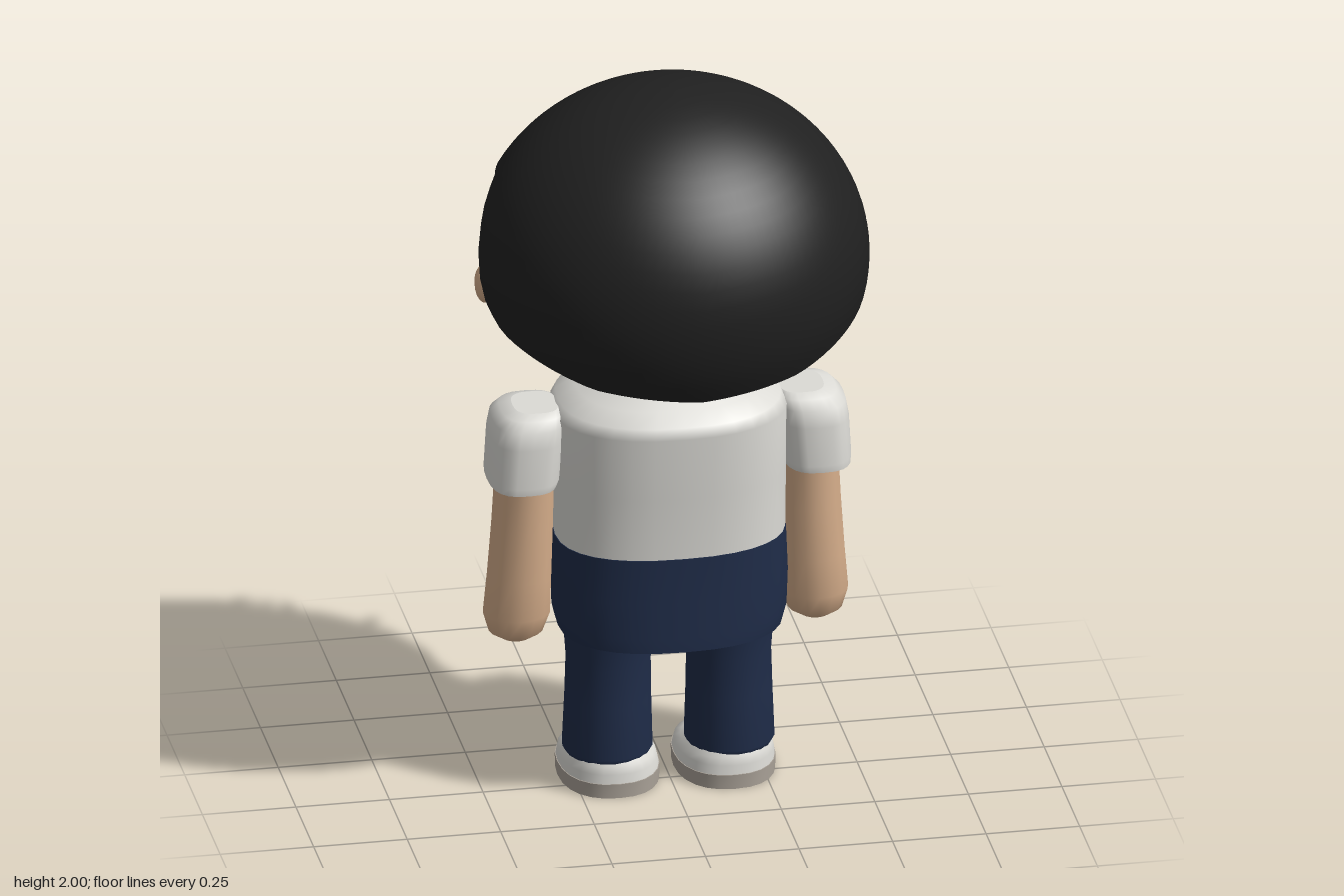
import * as THREE from 'three';

const flat = (name, color, side = THREE.FrontSide) => {
  const m = new THREE.MeshStandardMaterial({ color, side });
  m.name = name;
  return m;
};

// Grid of rows x cols, wrapped around y; rows run along the outline from bottom to top
function grid(rows, cols, fn, caps = false) {
  const pos = [], idx = [];
  for (let r = 0; r < rows; r++)
    for (let c = 0; c < cols; c++) pos.push(...fn(r, (c / cols) * Math.PI * 2));
  for (let r = 0; r < rows - 1; r++)
    for (let c = 0; c < cols; c++) {
      const a = r * cols + c, b = r * cols + (c + 1) % cols;
      idx.push(a, a + cols, b, b, a + cols, b + cols);
    }
  if (caps) for (const r of [0, rows - 1]) {
    const start = pos.length / 3, mid = [0, 0, 0];
    for (let c = 0; c < cols; c++) {
      const p = fn(r, (c / cols) * Math.PI * 2);
      pos.push(...p);
      p.forEach((v, k) => { mid[k] += v / cols; });
    }
    pos.push(...mid);
    for (let c = 0; c < cols; c++) {
      const a = start + c, b = start + (c + 1) % cols;
      idx.push(start + cols, ...(r === 0 ? [a, b] : [b, a]));
    }
  }
  const g = new THREE.BufferGeometry();
  g.setAttribute('position', new THREE.Float32BufferAttribute(pos, 3));
  g.setIndex(idx);
  g.computeVertexNormals();
  return g;
}

// Loft through rings [y, radiusX, radiusZ, centreX, centreZ]; power > 2 squares the section
function loft(rings, cols = 24, power = 2) {
  const f = (v) => Math.sign(v) * Math.pow(Math.abs(v), 2 / power);
  return grid(rings.length, cols, (r, a) => {
    const [y, rx, rz, cx, cz] = rings[r];
    return [cx + rx * f(Math.cos(a)), y, cz + rz * f(Math.sin(a))];
  }, true);
}

// Hairline height by degrees from the face, one table for each side
const HAIRLINE = {
  left: [[0, 1.715], [50, 1.705], [72, 1.7], [82, 1.685], [90, 1.61], [100, 1.48], [110, 1.41], [145, 1.32], [180, 1.29]],
  right: [[0, 1.715], [45, 1.715], [68, 1.745], [80, 1.75], [90, 1.65], [100, 1.48], [110, 1.41], [145, 1.32], [180, 1.29]],
};
function hairline(x, z) {
  const d = THREE.MathUtils.radToDeg(Math.atan2(Math.abs(x), -z));
  const t = x > 0 ? HAIRLINE.left : HAIRLINE.right;
  let i = 1;
  while (i < t.length - 1 && d > t[i][0]) i++;
  const k = (d - t[i - 1][0]) / (t[i][0] - t[i - 1][0]);
  return THREE.MathUtils.lerp(t[i - 1][1], t[i][1], k);
}
function hairPoint(a, theta, scale = 1, lift = 0) {
  const c = Math.cos(a), s = Math.sin(a), r = Math.sin(theta) * scale;
  return [0.525 * c * r, 1.52 + 0.48 * Math.cos(theta) + lift, (s < 0 ? 0.49 : 0.505) * s * r];
}
const rimTheta = (a) => Math.acos((hairline(Math.cos(a), Math.sin(a)) - 1.52) / 0.48);

export function createModel() {
  const model = new THREE.Group();
  const skin = flat('skin', 0xd6ae8b);
  const hair = flat('hair black', 0x202020);
  const white = flat('shirt white', 0xdcdbd6);
  const navy = flat('trouser navy', 0x1f2c48);
  const soleGrey = flat('sole grey', 0xaaa298);
  const pink = flat('cheek pink', 0xc4606c);
  const ink = flat('eye black', 0x101010, THREE.DoubleSide);

  const add = (name, geometry, material) => {
    const m = new THREE.Mesh(geometry, material);
    m.name = name;
    model.add(m);
    return m;
  };
  const blob = (name, material, [x, y, z], [rx, ry, rz], turn = 0) => {
    const m = add(name, new THREE.SphereGeometry(1, 14, 10), material);
    m.position.set(x, y, z);
    m.scale.set(rx, ry, rz);
    m.rotation.y = turn;
    return m;
  };

  // Head and neck
  add('head', loft([
    [1.1, 0.18, 0.165, 0, -0.04], [1.18, 0.185, 0.175, 0, -0.04], [1.25, 0.215, 0.2, 0, -0.04],
    [1.31, 0.385, 0.365, 0, -0.05], [1.36, 0.45, 0.43, 0, -0.035], [1.42, 0.487, 0.475, 0, -0.018],
    [1.5, 0.5, 0.48, 0, -0.01], [1.6, 0.49, 0.465, 0, -0.005], [1.7, 0.45, 0.43, 0, 0],
    [1.8, 0.37, 0.35, 0, 0], [1.9, 0.24, 0.22, 0, 0], [1.94, 0.1, 0.1, 0, 0],
  ], 20), skin);

  // Hair: outer dome, then the underside of its rim
  const rows = 20;
  add('hair', grid(rows + 1, 96, (r, a) => hairPoint(a, rimTheta(a) * (1 - r / rows))), hair);
  add('hairUnderside', grid(3, 96, (r, a) =>
    hairPoint(a, rimTheta(a), [0.87, 0.93, 1][r], [0.08, 0.005, 0][r])), hair);

  // Face
  blob('nose', skin, [0, 1.435, -0.498], [0.015, 0.014, 0.013]);
  blob('mouth', pink, [0, 1.39, -0.48], [0.022, 0.009, 0.009]);
  for (const s of [1, -1]) {
    blob('ear', skin, [s * 0.497, 1.475, 0], [0.025, 0.052, 0.044]);
    blob('cheek', pink, [s * 0.365, 1.435, -0.36], [0.024, 0.02, 0.011], s * 0.2);
    blob('eyebrow', ink, [s * 0.18, 1.64, -0.445], [0.034, 0.011, 0.012], s * 0.25);
    // Crescent eye bulging outwards, with a small lash and highlights
    const eye = new THREE.Shape();
    eye.absellipse(s * 0.15, 1.495, 0.06, 0.066, s > 0 ? -1.65 : Math.PI + 1.65, s > 0 ? 1.9 : Math.PI - 1.9, s < 0, 0);
    eye.absellipse(s * 0.138, 1.495, 0.056, 0.06, s > 0 ? 1.9 : Math.PI - 1.9, s > 0 ? -1.65 : Math.PI + 1.65, s > 0, 0);
    const plate = new THREE.ExtrudeGeometry(eye, { depth: 0.008, bevelEnabled: false, curveSegments: 20 });
    add('eye', plate, ink).position.z = -0.479;
    const lash = blob('eyelash', ink, [s * 0.2, 1.535, -0.47], [0.022, 0.006, 0.005]);
    lash.rotation.z = s * 0.4;
    blob('eyeHighlight', white, [s * 0.168, 1.525, -0.468], [0.009, 0.011, 0.006]);
    blob('eyeHighlight', white, [s * 0.172, 1.46, -0.468], [0.011, 0.012, 0.006]);
  }

  // Shirt body and trouser seat
  add('shirt', loft([
    [0.722, 0.305, 0.217, 0, -0.015], [0.9, 0.308, 0.232, 0, -0.023], [1.08, 0.312, 0.254, 0, -0.03],
    [1.11, 0.295, 0.247, 0, -0.032], [1.14, 0.245, 0.21, 0, -0.038], [1.166, 0.185, 0.168, 0, -0.04],
  ], 32, 2.4), white);
  add('trouserSeat', loft([
    [0.46, 0.297, 0.23, 0, -0.016], [0.5, 0.308, 0.23, 0, -0.016],
    [0.6, 0.312, 0.224, 0, -0.016], [0.725, 0.307, 0.219, 0, -0.015],
  ], 32, 2.4), navy);

  for (const s of [1, -1]) {
    // Sleeve and arm
    add('sleeve', loft([
      [0.89, 0.09, 0.13, s * 0.393, -0.038], [0.91, 0.094, 0.133, s * 0.39, -0.038],
      [1.02, 0.096, 0.13, s * 0.382, -0.038], [1.065, 0.094, 0.122, s * 0.376, -0.038],
      [1.09, 0.082, 0.1, s * 0.365, -0.038], [1.1, 0.06, 0.07, s * 0.355, -0.038],
    ], 24, 2.8), white);
    add('arm', loft([
      [0.415, 0.04, 0.04, s * 0.4, -0.068], [0.435, 0.072, 0.066, s * 0.4, -0.067],
      [0.49, 0.09, 0.083, s * 0.398, -0.066], [0.6, 0.086, 0.086, s * 0.392, -0.06],
      [0.75, 0.082, 0.088, s * 0.385, -0.055], [0.95, 0.078, 0.09, s * 0.378, -0.05],
    ], 16), skin);
    // Trouser leg
    add('trouserLeg', loft([
      [0.09, 0.112, 0.115, s * 0.163, -0.026], [0.105, 0.12, 0.123, s * 0.163, -0.026],
      [0.25, 0.115, 0.115, s * 0.162, -0.024], [0.36, 0.113, 0.108, s * 0.161, -0.024],
      [0.43, 0.119, 0.12, s * 0.16, -0.025], [0.5, 0.122, 0.123, s * 0.16, -0.025],
    ], 20), navy);
    // Shoe
    add('shoeSole', loft([
      [0, 0.133, 0.174, s * 0.155, -0.07], [0.04, 0.134, 0.175, s * 0.155, -0.07],
    ], 24, 2.3), soleGrey);
    add('shoeUpper', loft([
      [0.04, 0.132, 0.172, s * 0.155, -0.07], [0.065, 0.128, 0.166, s * 0.156, -0.067],
      [0.085, 0.118, 0.14, s * 0.158, -0.045], [0.105, 0.1, 0.11, s * 0.16, -0.028],
    ], 24, 2.3), white);
  }
  return model;
}
